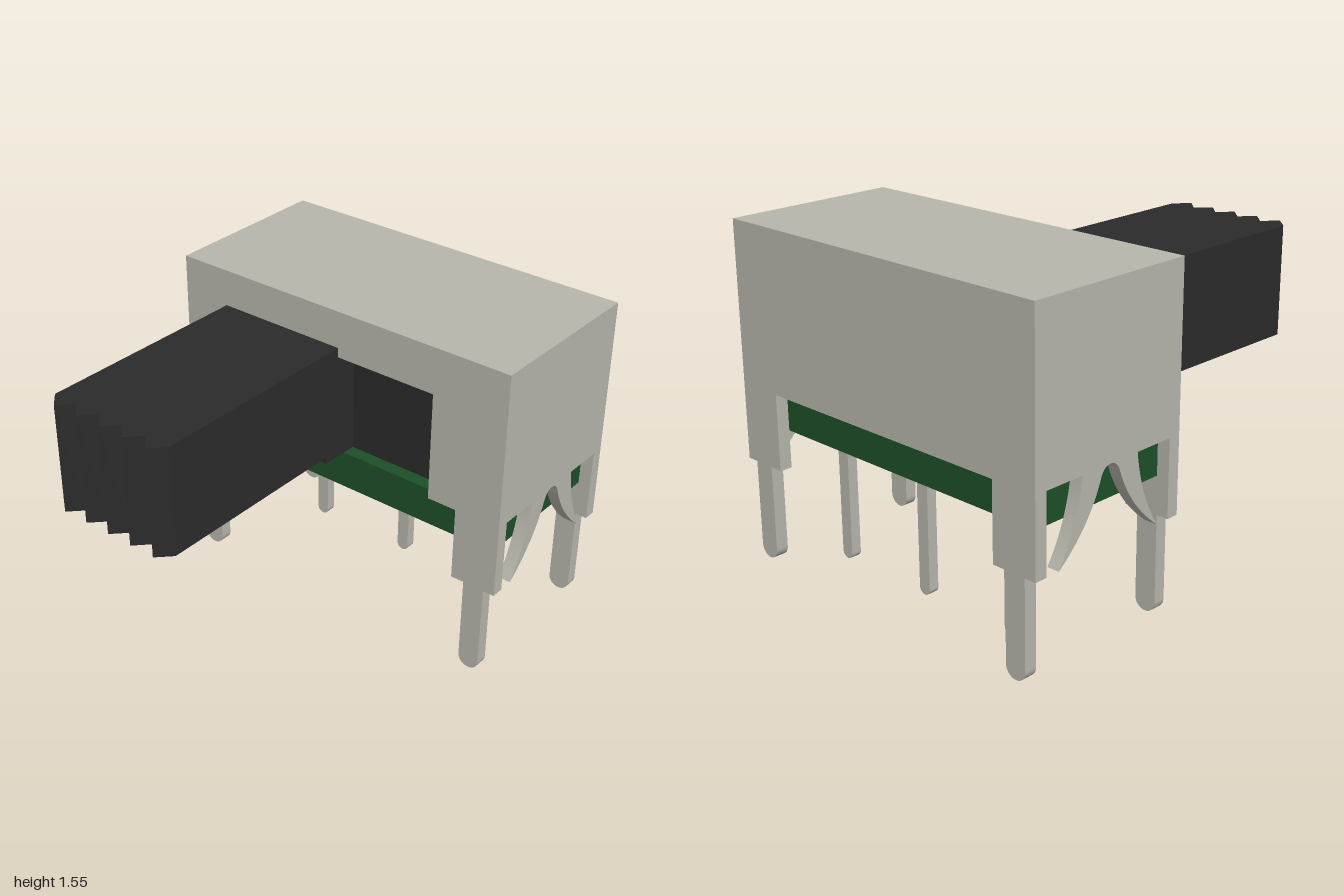
import * as THREE from 'three';

const T = 0.06; // sheet thickness
const TOP = 1.55, BOARD_TOP = 0.81, BOARD_BOTTOM = 0.63;
const FRONT = -0.165, BACK = -1, HALF_W = 0.885;

export function createModel() {
  const model = new THREE.Group();
  const metal = new THREE.MeshStandardMaterial({ color: 0xb7b6ac });
  const black = new THREE.MeshStandardMaterial({ color: 0x2b2b2b });
  const green = new THREE.MeshStandardMaterial({ color: 0x1d4f28 });

  const add = (name, geometry, material) => {
    const mesh = new THREE.Mesh(geometry, material);
    mesh.name = name;
    model.add(mesh);
    return mesh;
  };
  // Box given by its limits on each axis
  const box = (name, material, x0, x1, y0, y1, z0, z1) =>
    add(name, new THREE.BoxGeometry(x1 - x0, y1 - y0, z1 - z0)
      .translate((x0 + x1) / 2, (y0 + y1) / 2, (z0 + z1) / 2), material);
  const extrude = (shape, depth) =>
    new THREE.ExtrudeGeometry(shape, { depth, bevelEnabled: false, curveSegments: 12 });
  // Flat leg with a round lower end
  const leg = (name, x, width, top, z, depth) => {
    const r = width / 2;
    const s = new THREE.Shape();
    s.moveTo(x + r, top);
    s.lineTo(x - r, top);
    s.lineTo(x - r, r);
    s.absarc(x, r, r, Math.PI, Math.PI * 2, false);
    s.closePath();
    add(name, extrude(s, depth).translate(0, 0, z), metal);
  };

  // Case: top, then front and back plates with cut-away lower edges
  const plateTop = TOP - T;
  box('caseTop', metal, -HALF_W, HALF_W, plateTop, TOP, BACK, FRONT);
  const plate = (slot) => {
    const half = [[0.885, plateTop], [0.885, 0.455], [0.66, 0.455], [0.66, BOARD_TOP]];
    if (slot) half.push([0.515, BOARD_TOP], [0.515, 1.33]);
    const mirrored = half.map(([x, y]) => [-x, y]).reverse();
    return new THREE.Shape([...half, ...mirrored].map(([x, y]) => new THREE.Vector2(x, y)));
  };
  add('caseFront', extrude(plate(true), T).translate(0, 0, FRONT - T), metal);
  add('caseBack', extrude(plate(false), T).translate(0, 0, BACK), metal);

  // Side walls, each ending in a pair of curved prongs (drawn in z, y)
  const c = -0.5825;
  const side = new THREE.Shape();
  side.moveTo(FRONT - T, plateTop);
  side.lineTo(BACK + T, plateTop);
  side.lineTo(BACK + T, BOARD_TOP);
  side.lineTo(c - 0.16, BOARD_TOP);
  side.quadraticCurveTo(c - 0.185, 0.61, c - 0.29, 0.455);
  side.quadraticCurveTo(c - 0.115, 0.59, c - 0.053, 0.77);
  side.quadraticCurveTo(c - 0.035, BOARD_TOP, c, BOARD_TOP);
  side.quadraticCurveTo(c + 0.035, BOARD_TOP, c + 0.053, 0.77);
  side.quadraticCurveTo(c + 0.115, 0.59, c + 0.29, 0.455);
  side.quadraticCurveTo(c + 0.185, 0.61, c + 0.16, BOARD_TOP);
  side.lineTo(FRONT - T, BOARD_TOP);
  side.closePath();
  for (const [name, x] of [['leftSide', HALF_W], ['rightSide', -HALF_W + T]]) {
    add(name, extrude(side, T).rotateY(-Math.PI / 2).translate(x, 0, 0), metal);
  }

  // Mounting legs at the corners
  for (const x of [-0.777, 0.777]) {
    leg('frontLeg', x, 0.104, 0.455, FRONT - T, T);
    leg('backLeg', x, 0.104, 0.455, BACK, T);
  }

  // Base board with three contact pins
  box('baseBoard', green, -HALF_W + T, HALF_W - T, BOARD_BOTTOM, BOARD_TOP, BACK + T, FRONT - T);
  for (const x of [-0.515, 0, 0.515]) leg('contactPin', x, 0.062, BOARD_BOTTOM, -0.765, 0.05);

  // Inner slider block and the neck reaching out of the slot
  box('sliderBlock', black, -0.825, 0.825, BOARD_TOP, plateTop, BACK + T, -0.29);
  box('sliderNeck', black, -0.515, 0, BOARD_TOP, 1.325, -0.29, -0.1);

  // Knob with a toothed grip face (drawn in x, -z and extruded upward)
  const x0 = -0.58, x1 = 0.06, teeth = 5, step = (x1 - x0) / teeth;
  const knob = new THREE.Shape();
  knob.moveTo(x0, 0.1);
  knob.lineTo(x0, -0.935);
  for (let i = 0; i < teeth; i++) {
    knob.lineTo(x0 + (i + 0.5) * step, -1);
    knob.lineTo(x0 + (i + 1) * step, -0.935);
  }
  knob.lineTo(x1, 0.1);
  knob.closePath();
  add('knob', extrude(knob, 0.515).rotateX(-Math.PI / 2).translate(0, 0.905, 0), black);

  return model;
}
